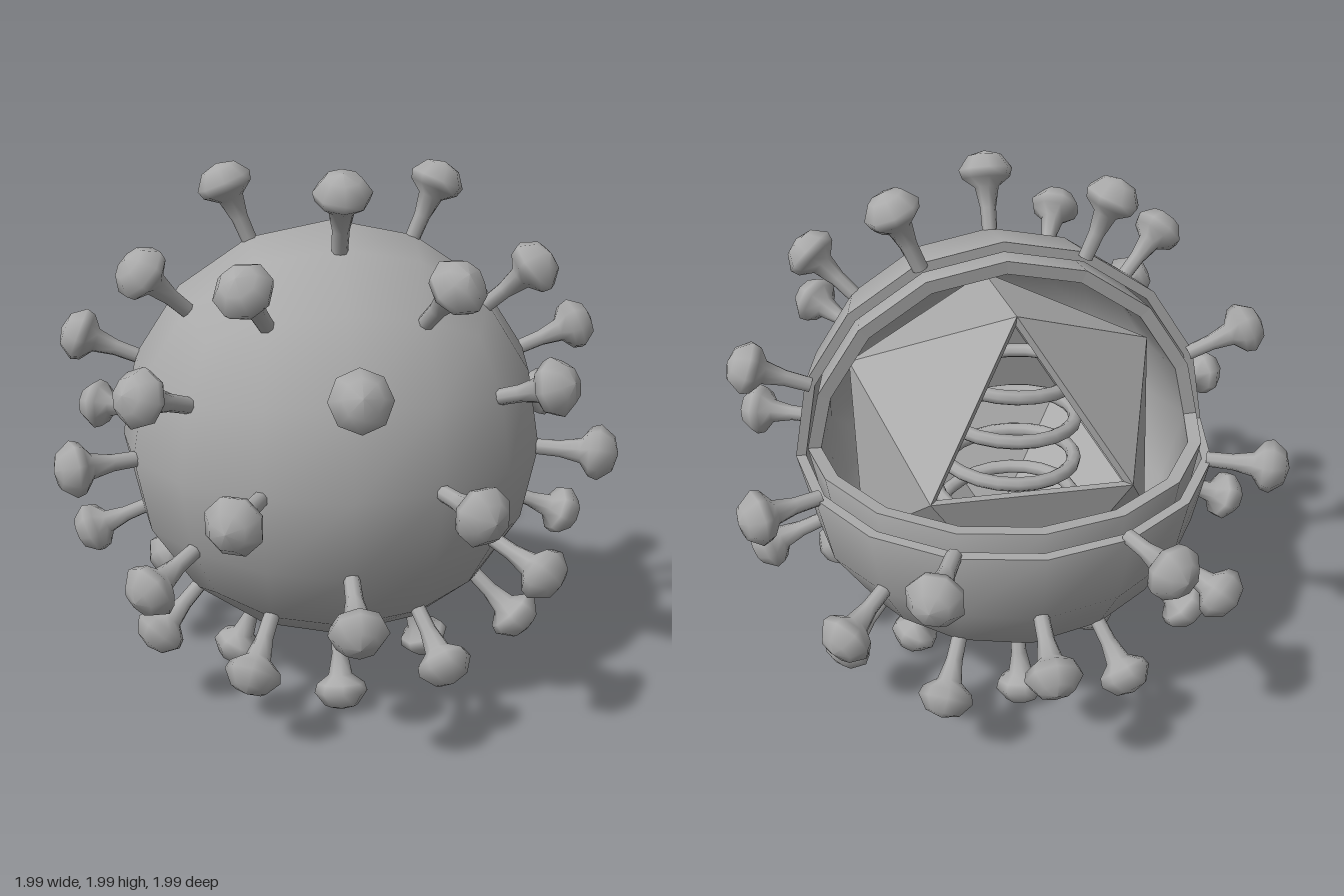
import * as THREE from 'three';
import { mergeVertices } from 'three/addons/utils/BufferGeometryUtils.js';

const CUT_STEP = 0.07;

// Weld a geometry so that only shared positions and an index remain.
function weld(geometry) {
  const g = geometry.index ? geometry.toNonIndexed() : geometry.clone();
  g.deleteAttribute('normal');
  g.deleteAttribute('uv');
  return mergeVertices(g, 1e-4);
}

// Unit ball made from a cube with 4 x 4 quads on each face.
function cubeBall() {
  const g = weld(new THREE.BoxGeometry(2, 2, 2, 4, 4, 4));
  const p = g.attributes.position;
  for (let i = 0; i < p.count; i++) {
    const c = [p.getX(i), p.getY(i), p.getZ(i)];
    const onEdge = c.filter((v) => Math.abs(v) > 0.99).length > 1;
    const v = new THREE.Vector3(...(onEdge ? c : c.map((t) => Math.tan(t * Math.PI / 4))));
    v.normalize();
    p.setXYZ(i, v.x, v.y, v.z);
  }
  return g;
}

// Thick shell: outer skin, inner skin and a flat rim around the opening.
// isOpen(centroid) tells which triangles are left out; step moves the rim into the opening.
function shell(base, outerR, innerR, isOpen, { smooth = true, step = 0 } = {}) {
  const p = base.attributes.position, index = base.index.array;
  const dirs = [], faces = [], edges = new Map();
  for (let i = 0; i < p.count; i++) dirs.push(new THREE.Vector3().fromBufferAttribute(p, i));
  for (let i = 0; i < index.length; i += 3) {
    const f = [index[i], index[i + 1], index[i + 2]];
    const mid = new THREE.Vector3();
    f.forEach((k) => mid.add(dirs[k]));
    if (isOpen(mid.divideScalar(3))) continue;
    faces.push(f);
    f.forEach((a, k) => edges.set(a + '_' + f[(k + 1) % 3], [a, f[(k + 1) % 3]]));
  }
  const rim = [...edges.values()].filter(([a, b]) => !edges.has(b + '_' + a));

  // Step the rim forward into the opening
  if (step) {
    for (const k of new Set(rim.flat())) {
      const d = dirs[k];
      const low = Math.abs(d.y) < 1e-3, mid = Math.abs(d.z) < 1e-3;
      if (low) d.y = step;
      if (mid) d.z = -step;
      d.normalize();
    }
  }

  const position = [], normal = [];
  const tri = (points, normals) => {
    const flat = new THREE.Triangle(...points).getNormal(new THREE.Vector3());
    points.forEach((v, i) => {
      position.push(v.x, v.y, v.z);
      const n = normals ? normals[i] : flat;
      normal.push(n.x, n.y, n.z);
    });
  };
  const at = (k, r) => dirs[k].clone().multiplyScalar(r);
  for (const f of faces) {
    const back = [f[0], f[2], f[1]];
    tri(f.map((k) => at(k, outerR)), smooth && f.map((k) => at(k, 1)));
    tri(back.map((k) => at(k, innerR)), smooth && back.map((k) => at(k, -1)));
  }
  for (const [a, b] of rim) {
    tri([at(b, outerR), at(a, outerR), at(a, innerR)]);
    tri([at(b, outerR), at(a, innerR), at(b, innerR)]);
  }
  const g = new THREE.BufferGeometry();
  g.setAttribute('position', new THREE.Float32BufferAttribute(position, 3));
  g.setAttribute('normal', new THREE.Float32BufferAttribute(normal, 3));
  return g;
}

// Spike directions: four around each axis, and two on each edge of the cube.
function spikeDirections() {
  const s = Math.sin(Math.PI / 8), c = Math.cos(Math.PI / 8);
  const kinds = [[s, c, 0], [c, s, 0], [s, 0, c], [c, 0, s], [0, s, c], [0, c, s],
    [1 / 3, 2 / 3, 2 / 3], [2 / 3, 1 / 3, 2 / 3], [2 / 3, 2 / 3, 1 / 3]];
  const out = [];
  for (const [x, y, z] of kinds)
    for (const sx of x ? [1, -1] : [1])
      for (const sy of y ? [1, -1] : [1])
        for (const sz of z ? [1, -1] : [1]) out.push(new THREE.Vector3(x * sx, y * sy, z * sz));
  return out;
}

export function createModel() {
  const model = new THREE.Group();
  model.name = 'virusCutaway';
  const grey = new THREE.MeshStandardMaterial({ color: 0xaaaaaa });
  grey.name = 'grey';

  const body = new THREE.Group();
  body.name = 'body';
  body.position.y = 1;
  model.add(body);
  const add = (name, geometry, parent = body) => {
    const mesh = new THREE.Mesh(geometry, grey);
    mesh.name = name;
    parent.add(mesh);
    return mesh;
  };

  // Two nested envelopes with the upper back quarter cut away
  const inCut = (v) => v.y > 1e-3 && v.z < -1e-3;
  const ball = cubeBall();
  add('outerEnvelope', shell(ball, 0.785, 0.748, inCut));
  add('innerEnvelope', shell(ball, 0.744, 0.695, inCut, { step: CUT_STEP / 0.744 }));

  // Twenty-sided capsid with one open face
  const ico = weld(new THREE.IcosahedronGeometry(1, 0));
  const openFace = (v) => Math.abs(v.x) < 1e-3 && v.y > 0.5 && v.z > 0;
  const capsid = add('capsid', shell(ico, 0.66, 0.615, openFace, { smooth: false }));
  capsid.rotation.x = THREE.MathUtils.degToRad(-80);

  // Coiled strand inside the capsid
  const turns = 4, coil = [];
  for (let i = 0; i <= turns * 12; i++) {
    const a = (i / 12) * Math.PI * 2;
    coil.push(new THREE.Vector3(0.27 * Math.cos(a), -0.36 + 0.72 * i / (turns * 12), 0.27 * Math.sin(a)));
  }
  add('strand', new THREE.TubeGeometry(new THREE.CatmullRomCurve3(coil), turns * 24, 0.027, 8));

  // Spikes with a slim stem and a domed knob
  const profile = [[0.028, 0.765], [0.03, 0.86], [0.045, 0.935], [0.09, 0.968],
    [0.1, 1.0], [0.062, 1.05], [0, 1.066]].map(([x, y]) => new THREE.Vector2(x, y));
  const spikeGeometry = new THREE.LatheGeometry(profile, 8);
  const spikes = new THREE.Group();
  spikes.name = 'spikes';
  body.add(spikes);
  const up = new THREE.Vector3(0, 1, 0);
  for (const d of spikeDirections()) {
    if (inCut(d)) continue;
    add('spike', spikeGeometry, spikes).quaternion.setFromUnitVectors(up, d);
  }
  return model;
}
